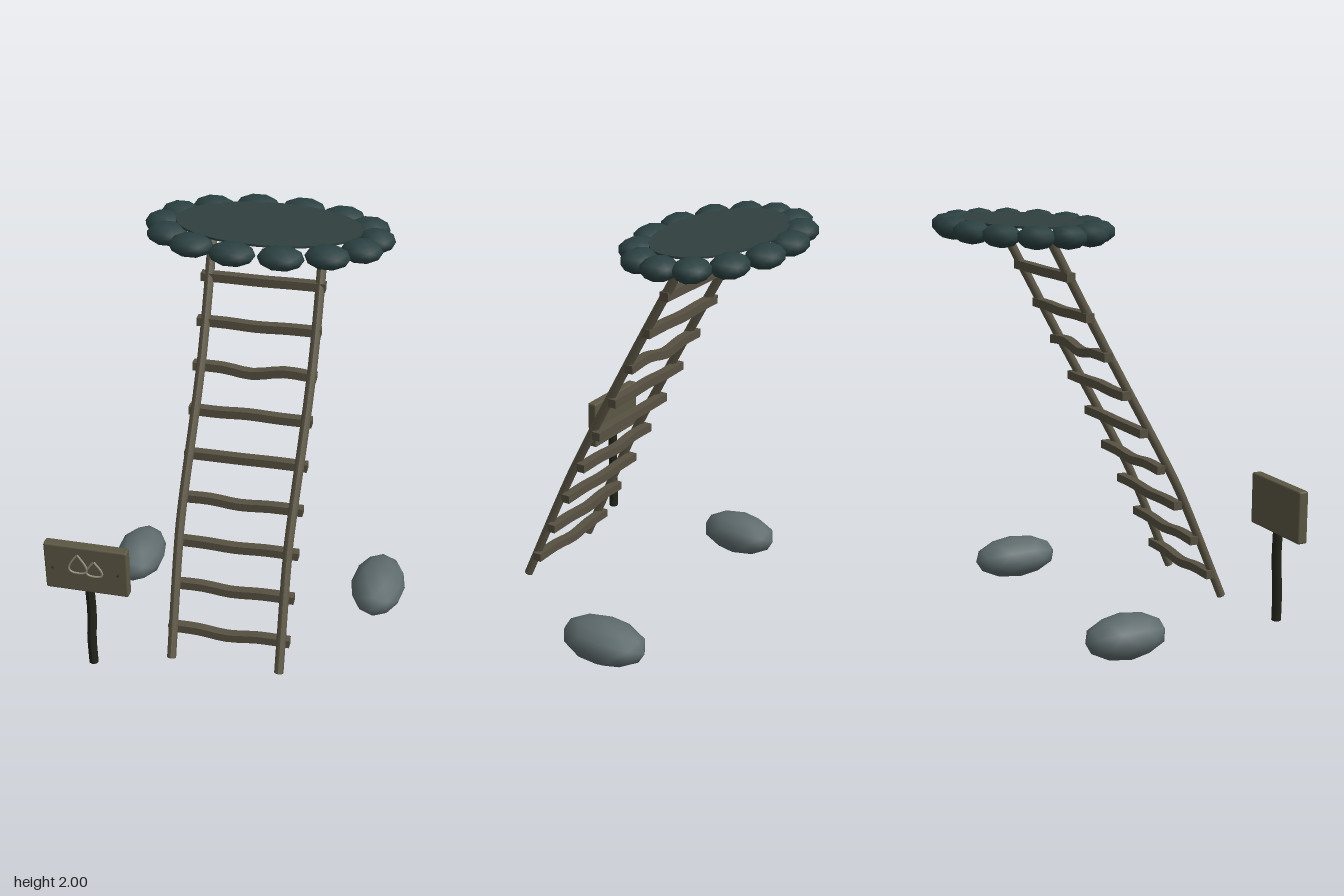
import * as THREE from 'three';
import { RoundedBoxGeometry } from 'three/addons/geometries/RoundedBoxGeometry.js';

const paint = (name, color) => {
  const m = new THREE.MeshStandardMaterial({ color });
  m.name = name;
  return m;
};

export function createModel() {
  const model = new THREE.Group();
  model.name = 'pondLadder';
  const mats = {
    wood: paint('weathered wood', 0x605a49),
    rung: paint('rung wood', 0x575142),
    board: paint('sign board', 0x5c5744),
    post: paint('dark post', 0x23251b),
    stone: paint('grey stone', 0x5e6b6d),
    rim: paint('dark teal stone', 0x2b4041),
    water: paint('still water', 0x30403f),
    chalk: paint('pale mark', 0x97917b),
    nail: paint('nail', 0x35352c),
  };
  const v = (x, y, z) => new THREE.Vector3(x, y, z);

  const add = (name, geometry, material, parent = model) => {
    const mesh = new THREE.Mesh(geometry, material);
    mesh.name = name;
    parent.add(mesh);
    return mesh;
  };
  const group = (name) => {
    const g = new THREE.Group();
    g.name = name;
    model.add(g);
    return g;
  };

  // Lays a unit-high geometry (along y) on a curve; side is its constant cross axis
  const bend = (geometry, points, side) => {
    const curve = new THREE.CatmullRomCurve3(points, false, 'centripetal');
    const pos = geometry.attributes.position;
    for (let i = 0; i < pos.count; i++) {
      const t = THREE.MathUtils.clamp(pos.getY(i) + 0.5, 0, 1);
      const normal = side.clone().cross(curve.getTangent(t)).normalize();
      const p = curve.getPoint(t).addScaledVector(side, pos.getX(i)).addScaledVector(normal, pos.getZ(i));
      pos.setXYZ(i, p.x, p.y, p.z);
    }
    geometry.computeVertexNormals();
    return geometry;
  };

  // Ladder rails, kinked at about a third of their height
  const ladder = group('ladder');
  const xAxis = v(1, 0, 0), zAxis = v(0, 0, 1);
  const rails = { rightRail: [-0.245, -0.257, -0.255, -0.232, -0.24], leftRail: [0.292, 0.281, 0.285, 0.306, 0.297] };
  const railYZ = [[0.07, 0.605], [0.62, 0.362], [0.78, 0.282], [1.4, -0.055], [1.96, -0.36]];
  for (const [name, xs] of Object.entries(rails)) {
    const points = railYZ.map(([y, z], i) => v(xs[i], y, z));
    add(name, bend(new THREE.CylinderGeometry(0.023, 0.023, 1, 8, 16), points, xAxis), mats.wood, ladder);
  }

  // Slightly warped rungs: height offsets at the left quarter, middle and right quarter
  const warps = [
    [0, -0.016, 0], [0.004, -0.01, 0], [0, -0.006, 0.002], [0.004, -0.01, 0], [0, 0, 0.002],
    [-0.002, 0.005, 0], [0, -0.018, 0.01], [0, -0.006, 0], [0, -0.002, 0],
  ];
  warps.forEach((w, i) => {
    const y = 0.2 + i * 0.1922, z = 0.52 - i * 0.0957;
    const points = [v(-0.275, y, z), v(-0.13, y + w[0], z), v(0.015, y + w[1], z), v(0.17, y + w[2], z), v(0.328, y, z)];
    add('rung', bend(new THREE.BoxGeometry(0.044, 1, 0.042, 1, 12, 1), points, zAxis), mats.rung, ladder);
  });

  // Pond: a thin sheet of water ringed by stones
  const pond = group('pond');
  const cx = 0.028, cy = 1.945, cz = -0.36;
  const water = add('water', new THREE.CylinderGeometry(1, 1, 0.01, 40), mats.water, pond);
  water.scale.set(0.45, 1, 0.255);
  water.position.set(cx, 1.98, cz);
  const pebble = new THREE.IcosahedronGeometry(1, 1);
  for (let i = 0; i < 14; i++) {
    const a = (i / 14) * Math.PI * 2;
    const s = add('rimStone', pebble, mats.rim, pond);
    s.position.set(cx + 0.515 * Math.cos(a), cy, cz + 0.297 * Math.sin(a));
    s.scale.set(0.091 + 0.021 * Math.abs(Math.sin(a)), 0.055, 0.084);
  }

  // Boulders on the ground
  for (const [name, x, rx, rz] of [['leftBoulder', 0.672, 0.14, 0.227], ['rightBoulder', -0.613, 0.13, 0.208]]) {
    const b = add(name, pebble, mats.stone);
    b.position.set(x, 0.112, -0.135);
    b.scale.set(rx, 0.107, rz);
  }

  // Signpost
  const sign = group('sign');
  const postPath = [v(-0.617, 0.05, 0.692), v(-0.618, 0.2, 0.692), v(-0.61, 0.36, 0.688), v(-0.612, 0.51, 0.69)];
  add('post', bend(new THREE.CylinderGeometry(0.024, 0.024, 1, 8, 8), postPath, xAxis), mats.post, sign);
  add('board', new RoundedBoxGeometry(0.406, 0.255, 0.052, 2, 0.009), mats.board, sign).position.set(-0.616, 0.623, 0.689);

  // Two outlined water drops
  const drop = (x, y, w, h) => {
    const outline = new THREE.CurvePath();
    const tip = v(x, y + h, 0.721), base = v(x, y, 0.721);
    const half = (s) => [v(x + s * w * 0.3, y + h * 0.72, 0.721), v(x + s * w * 1.6, y, 0.721)];
    const [a, b] = half(1), [c, d] = half(-1);
    outline.add(new THREE.CubicBezierCurve3(tip, a, b, base));
    outline.add(new THREE.CubicBezierCurve3(base, d, c, tip));
    add('dropMark', new THREE.TubeGeometry(outline, 32, 0.005, 6, false), mats.chalk, sign);
  };
  drop(-0.652, 0.607, 0.056, 0.107);
  drop(-0.572, 0.599, 0.05, 0.086);

  // Nails either side of the drops
  for (const x of [-0.777, -0.457]) {
    const nail = add('nail', new THREE.CylinderGeometry(0.006, 0.006, 0.012, 8), mats.nail, sign);
    nail.rotation.x = Math.PI / 2;
    nail.position.set(x, 0.622, 0.719);
  }

  return model;
}
